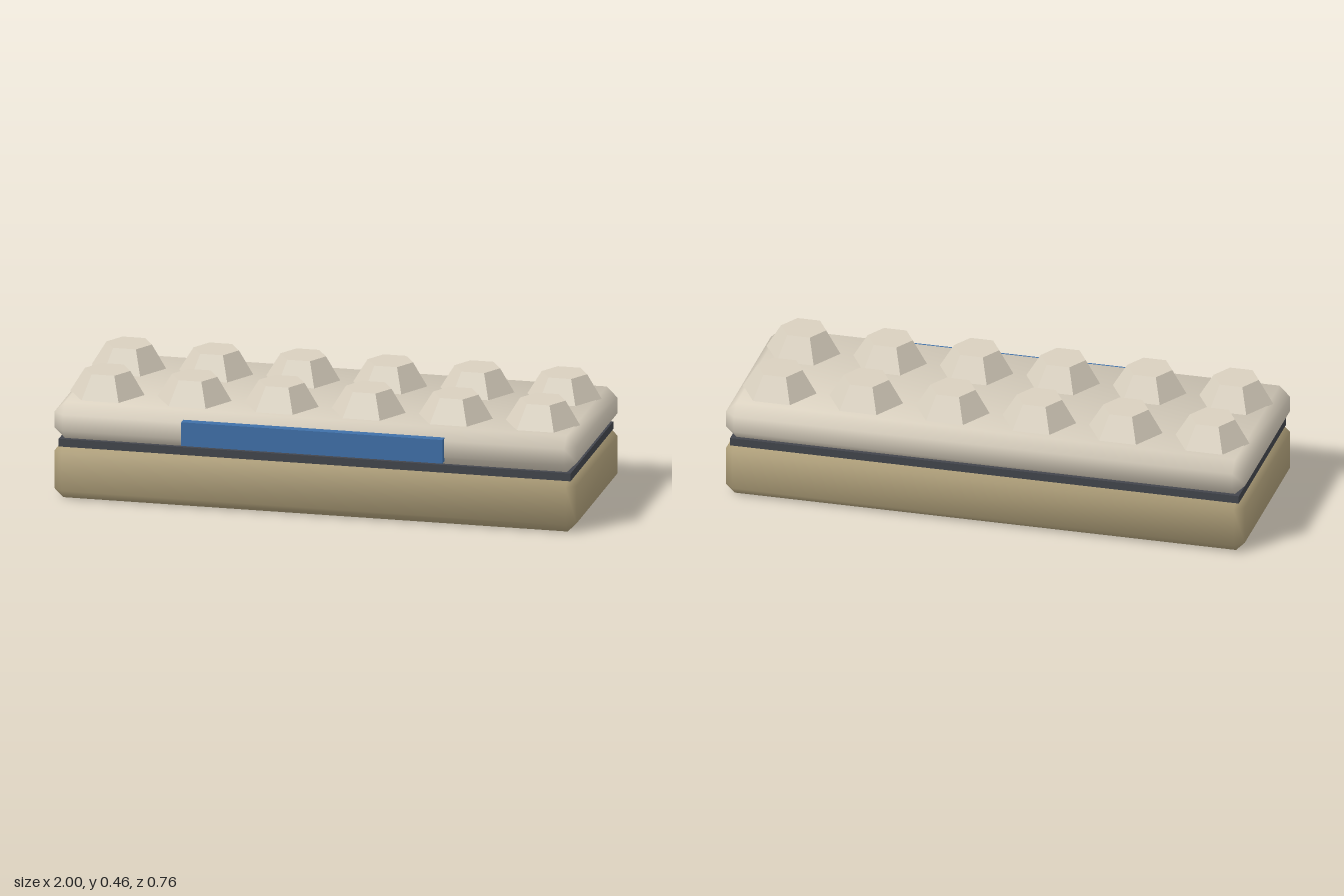
import * as THREE from 'three';
import { ConvexGeometry } from 'three/addons/geometries/ConvexGeometry.js';

const CENTRE_Z = -0.0125;

// Box with one bevel step on every edge and soft, blended normals
function softBevelBox(w, h, d, bevel) {
  const half = [w / 2, h / 2, d / 2];
  const points = [];
  for (let axis = 0; axis < 3; axis++) {
    for (const sx of [-1, 1]) for (const sy of [-1, 1]) for (const sz of [-1, 1]) {
      const p = [sx, sy, sz].map((s, i) => s * (half[i] - (i === axis ? 0 : bevel)));
      points.push(new THREE.Vector3(...p));
    }
  }
  const geometry = new ConvexGeometry(points);
  const position = geometry.attributes.position;
  const normal = geometry.attributes.normal;
  for (let i = 0; i < position.count; i++) {
    const p = [position.getX(i), position.getY(i), position.getZ(i)];
    const n = p.map((v, k) => Math.sign(v) * (Math.abs(v) > half[k] - bevel / 2 ? 2.8 : 1.09));
    const v = new THREE.Vector3(...n).normalize();
    normal.setXYZ(i, v.x, v.y, v.z);
  }
  return geometry;
}

export function createModel() {
  const model = new THREE.Group();
  const tan = new THREE.MeshStandardMaterial({ name: 'tan', color: 0xb0a07a });
  const cream = new THREE.MeshStandardMaterial({ name: 'cream', color: 0xd9d0bf });
  const creamFacet = cream.clone();
  creamFacet.name = 'cream faceted';
  creamFacet.flatShading = true;
  const charcoal = new THREE.MeshStandardMaterial({ name: 'charcoal', color: 0x42454c });
  const blue = new THREE.MeshStandardMaterial({ name: 'blue', color: 0x3f70a8 });

  const add = (name, geometry, material, x, y, z) => {
    const mesh = new THREE.Mesh(geometry, material);
    mesh.name = name;
    mesh.position.set(x, y, z);
    model.add(mesh);
    return mesh;
  };

  // Stacked body: base, recessed seam, upper slab
  add('base', softBevelBox(2, 0.213, 0.735, 0.034), tan, 0, 0.1065, CENTRE_Z);
  add('seam', new THREE.BoxGeometry(1.96, 0.03, 0.693), charcoal, 0, 0.215, CENTRE_Z);
  add('upperSlab', softBevelBox(2, 0.142, 0.735, 0.04), cream, 0, 0.299, CENTRE_Z);

  // Plate on the front edge
  add('frontPlate', new THREE.BoxGeometry(1, 0.092, 0.034), blue, 0, 0.295, 0.363);

  // Two rows of tapered hexagonal studs
  const studGeometry = new THREE.CylinderGeometry(0.087, 0.143, 0.092, 6);
  studGeometry.rotateY(Math.PI / 6);
  for (const side of [-1, 1]) {
    for (let i = 0; i < 6; i++) {
      add('stud', studGeometry, creamFacet, (i - 2.5) / 3, 0.414, CENTRE_Z + side * 0.175);
    }
  }
  return model;
}
